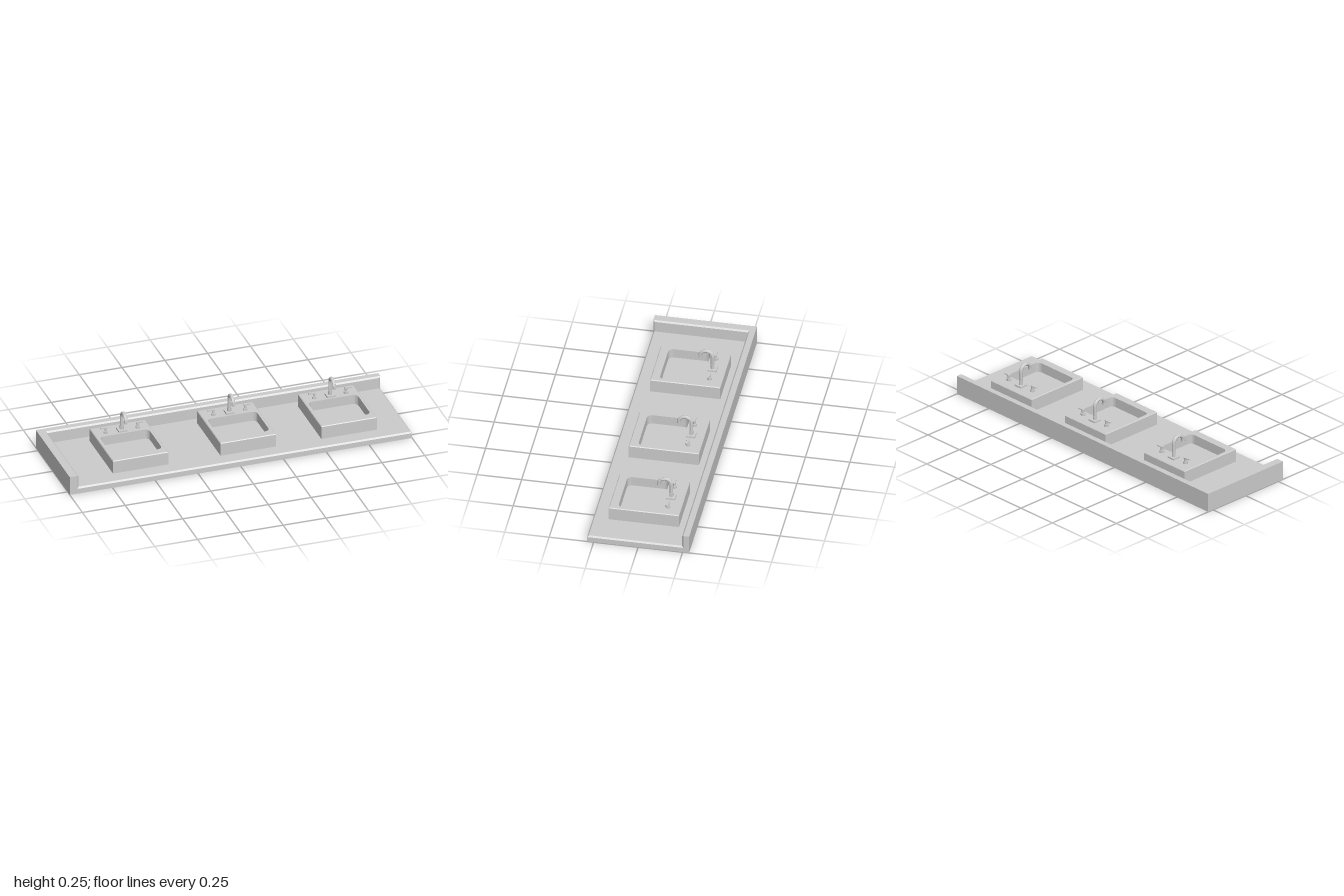
import * as THREE from 'three';
import { mergeVertices } from 'three/addons/utils/BufferGeometryUtils.js';

const sheet = new THREE.MeshStandardMaterial({ color: 0xcccccc, side: THREE.DoubleSide, flatShading: true });
const solid = new THREE.MeshStandardMaterial({ color: 0xcccccc });
const faceted = new THREE.MeshStandardMaterial({ color: 0xcccccc, flatShading: true });

function add(parent, name, geometry, material, x = 0, y = 0, z = 0) {
  const mesh = new THREE.Mesh(geometry, material);
  mesh.name = name;
  mesh.position.set(x, y, z);
  parent.add(mesh);
  return mesh;
}

// Geometry from a list of four-cornered faces
function quads(list) {
  const pos = [];
  for (const [a, b, c, d] of list) pos.push(...a, ...b, ...c, ...a, ...c, ...d);
  const g = new THREE.BufferGeometry();
  g.setAttribute('position', new THREE.Float32BufferAttribute(pos, 3));
  g.computeVertexNormals();
  return g;
}

// Faces joining closed loops of 3D points
function skin(loops) {
  const list = [];
  for (let k = 0; k + 1 < loops.length; k++) {
    const a = loops[k], b = loops[k + 1], n = a.length;
    for (let i = 0; i < n; i++) {
      const j = (i + 1) % n;
      list.push([a[i], a[j], b[j], b[i]]);
    }
  }
  return list;
}

// Counter-clockwise rectangle seen from above, at height y
const rect = (x0, x1, z0, z1, y) => [[x0, y, z1], [x1, y, z1], [x1, y, z0], [x0, y, z0]];
const flatPath = (pts, Type = THREE.Path) => new Type(pts.map(p => new THREE.Vector2(p[0], -p[2])));

// Horizontal sheet with holes
function plate(outline, holes) {
  const shape = flatPath(outline, THREE.Shape);
  shape.holes = holes.map(h => flatPath(h));
  return new THREE.ShapeGeometry(shape).rotateX(-Math.PI / 2).translate(0, outline[0][1], 0);
}

// Rounded rectangle loop at height y
function roundedRect(x0, x1, z0, z1, r, y) {
  const pts = [];
  const corners = [[x1 - r, z0 + r], [x0 + r, z0 + r], [x0 + r, z1 - r], [x1 - r, z1 - r]];
  corners.forEach(([cx, cz], q) => {
    for (let i = 0; i <= 5; i++) {
      const t = (q + i / 5) * Math.PI / 2;
      pts.push([cx + r * Math.cos(t), y, cz - r * Math.sin(t)]);
    }
  });
  return pts;
}

const sinkXs = [-0.555, 0.073, 0.662];
const SW = 0.162, SZ0 = -0.196, SZ1 = 0.199;
const X = 1, Z = 0.287, H = 0.111, E = 0.03, B = 0.008;
const IX = -0.955, IZ = -0.254;

// Counter shell, open below, with a splash along the back and one end
function makeCounter() {
  const g = new THREE.Group();
  g.name = 'counter';
  add(g, 'outerWalls', quads([
    [[X, 0, -Z], [-X, 0, -Z], [-X, H, -Z], [X, H, -Z]],
    [[-X, 0, -Z], [-X, 0, Z], [-X, H, Z], [-X, H, -Z]],
    [[-X, 0, Z], [X, 0, Z], [X, E, Z], [-X, E, Z]],
    [[X, 0, Z], [X, 0, -Z], [X, E, -Z], [X, E, Z]],
    [[-X, E, Z], [IX, E, Z], [IX, H, Z], [-X, H, Z]],
    [[X, E, IZ], [X, E, -Z], [X, H, -Z], [X, H, IZ]],
  ]), sheet);
  add(g, 'splashTops', quads([
    [[-X, H, Z], [IX, H, Z], [IX, H, IZ], [-X, H, IZ]],
    [[-X, H, IZ], [X, H, IZ], [X, H, -Z], [-X, H, -Z]],
  ]), sheet);

  // Raised inner panels with chamfered edges
  const end = (x, b) => [[x, E + b, Z - b], [x, E + b, IZ + b], [x, H - b, IZ + b], [x, H - b, Z - b]];
  const back = (z, b) => [[IX + b, E + b, z], [X - b, E + b, z], [X - b, H - b, z], [IX + b, H - b, z]];
  const endFace = end(IX + B, B), backFace = back(IZ + B, B);
  add(g, 'endSplash', quads([...skin([end(IX, 0), endFace]), endFace]), sheet);
  add(g, 'backSplash', quads([...skin([back(IZ, 0), backFace]), backFace]), sheet);
  const top = rect(IX + B, X - B, IZ + B, Z - B, E + B);
  add(g, 'counterEdge', quads(skin([rect(IX, X, IZ, Z, E), top])), sheet);
  add(g, 'counterTop', plate(top, sinkXs.map(x => rect(x - SW, x + SW, SZ0, SZ1, 0))), sheet);
  return g;
}

// Raised rectangular sink with a rounded basin
function makeSink() {
  const g = new THREE.Group();
  g.name = 'sink';
  const T = 0.116, F = 0.06, c = 0.004;
  const lip = rect(-SW + c, SW - c, SZ0 + c, SZ1 - c, T);
  const basin = y => roundedRect(-0.144, 0.144, -0.086, 0.15, 0.028, y);
  add(g, 'sinkWalls', quads(skin([
    rect(-SW, SW, SZ0, SZ1, E + B), rect(-SW, SW, SZ0, SZ1, T - c), lip,
  ])), sheet);
  add(g, 'sinkRim', plate(lip, [basin(T)]), sheet);
  add(g, 'basinWalls', quads(skin([basin(T), basin(F)])), sheet);
  add(g, 'sinkFloor', plate(rect(-SW, SW, SZ0, SZ1, F), []), sheet);
  g.add(makeFaucet(T));
  for (const s of [-1, 1]) g.add(makeHandle(s, T));
  return g;
}

// Gooseneck spout on a square foot
function makeFaucet(y) {
  const g = new THREE.Group();
  g.name = 'faucet';
  const z = -0.1225, R = 0.035, cy = 0.202;
  add(g, 'faucetFoot', new THREE.BoxGeometry(0.05, 0.009, 0.05), solid, 0, y + 0.0045, z);
  add(g, 'faucetCollar', new THREE.CylinderGeometry(0.0115, 0.0115, 0.022, 8).rotateY(Math.PI / 8), faceted, 0, y + 0.02, z);
  const path = new THREE.CurvePath();
  const v = (py, pz) => new THREE.Vector3(0, py, pz);
  path.add(new THREE.LineCurve3(v(y + 0.005, z), v(cy, z)));
  const arc = [];
  for (let i = 0; i <= 12; i++) {
    const t = Math.PI * i / 12;
    arc.push(v(cy + R * Math.sin(t), z + R - R * Math.cos(t)));
  }
  for (let i = 0; i < 12; i++) path.add(new THREE.LineCurve3(arc[i], arc[i + 1]));
  path.add(new THREE.LineCurve3(arc[12], v(0.193, z + 2 * R)));
  add(g, 'spout', mergeVertices(new THREE.TubeGeometry(path, 44, 0.0105, 8)), faceted);
  add(g, 'spoutOutlet', new THREE.CircleGeometry(0.0105, 8).rotateX(Math.PI / 2), faceted, 0, 0.1935, z + 2 * R);
  return g;
}

// Tap handle with a lever pointing outwards
function makeHandle(side, y) {
  const g = new THREE.Group();
  g.name = side > 0 ? 'leftHandle' : 'rightHandle';
  const x = side * 0.093, z = -0.1225;
  add(g, 'handleBase', new THREE.CylinderGeometry(0.014, 0.014, 0.012, 8), faceted, x, y + 0.006, z);
  add(g, 'handlePost', new THREE.CylinderGeometry(0.008, 0.008, 0.024, 8), faceted, x, y + 0.022, z);
  add(g, 'handleLever', new THREE.BoxGeometry(0.042, 0.006, 0.011), solid, x + side * 0.012, y + 0.032, z);
  return g;
}

export function createModel() {
  const model = new THREE.Group();
  model.name = 'tripleSinkCounter';
  model.add(makeCounter());
  for (const x of sinkXs) {
    const sink = makeSink();
    sink.position.x = x;
    model.add(sink);
  }
  return model;
}
